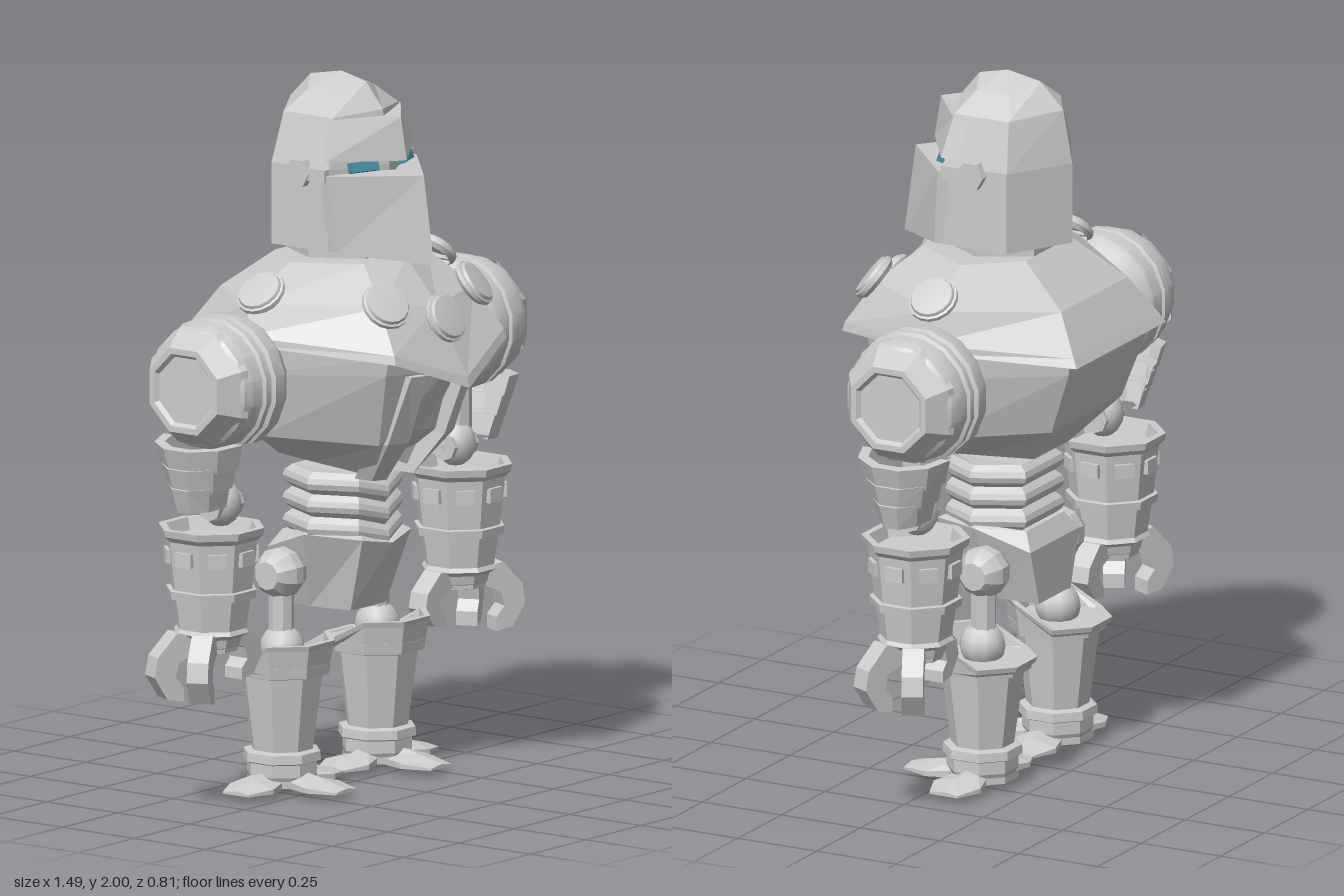
import * as THREE from 'three';
import { toCreasedNormals } from 'three/addons/utils/BufferGeometryUtils.js';

const flat = new THREE.MeshStandardMaterial({ color: 0xcccccc, flatShading: true, side: THREE.DoubleSide });
const smooth = new THREE.MeshStandardMaterial({ color: 0xcccccc, side: THREE.DoubleSide });
const teal = new THREE.MeshStandardMaterial({ color: 0x4a90a8 });

function add(parent, name, geo, pos = [0, 0, 0], mat = flat) {
  const m = new THREE.Mesh(geo, mat);
  m.name = name;
  m.position.set(...pos);
  parent.add(m);
  return m;
}

// Completes a half section (front to back, x >= 0) by mirroring it
const whole = half => [...half, ...half.filter(p => p[0] > 0.001).reverse().map(([x, y, z]) => [-x, y, z])];
// Symmetric open strip, right end to left end
const strip = half => [...half.slice(1).reverse().map(([x, y, z]) => [-x, y, z]), ...half];

// Skin over cross-sections, listed from bottom to top
function loft(rings, { closed = true, caps = true } = {}) {
  const n = rings[0].length, pos = [];
  const tri = (...p) => p.forEach(v => pos.push(...v));
  for (let i = 0; i < rings.length - 1; i++)
    for (let j = 0; j < (closed ? n : n - 1); j++) {
      const k = (j + 1) % n, [lo, hi] = [rings[i], rings[i + 1]];
      tri(lo[j], lo[k], hi[k]);
      tri(lo[j], hi[k], hi[j]);
    }
  if (closed && caps)
    for (let j = 1; j < n - 1; j++) {
      const lo = rings[0], hi = rings[rings.length - 1];
      tri(lo[0], lo[j + 1], lo[j]);
      tri(hi[0], hi[j], hi[j + 1]);
    }
  const g = new THREE.BufferGeometry();
  g.setAttribute('position', new THREE.Float32BufferAttribute(pos, 3));
  g.computeVertexNormals();
  return g;
}

// Turned profile of [radius, height] pairs; eight flat sides by default
const turned = (pts, n = 8) =>
  new THREE.LatheGeometry(pts.map(p => new THREE.Vector2(...p)), n, Math.PI / n);

// Square bar between two points
function bar(parent, name, a, b, w, d, mat = flat) {
  const A = new THREE.Vector3(...a), B = new THREE.Vector3(...b), dir = B.clone().sub(A);
  const m = add(parent, name, new THREE.BoxGeometry(w, dir.length(), d), A.clone().add(B).multiplyScalar(0.5).toArray(), mat);
  m.quaternion.setFromUnitVectors(new THREE.Vector3(0, 1, 0), dir.normalize());
}

function addPair(parent, name, build) {
  for (const s of [1, -1]) {
    const g = build();
    g.name = (s > 0 ? 'left' : 'right') + name;
    g.scale.x = s;
    parent.add(g);
  }
}

function makeTorso() {
  const g = new THREE.Group();
  g.name = 'torso';
  add(g, 'chestShell', loft([
    [[0, 1.21, .36], [.22, 1.275, .3], [.42, 1.31, -.04], [.22, 1.265, -.37]],
    [[0, 1.16, .40], [.25, 1.255, .335], [.46, 1.3, -.04], [.255, 1.255, -.41]],
    [[0, 1.19, .392], [.247, 1.28, .328], [.457, 1.325, -.04], [.245, 1.28, -.395]],
    [[0, 1.38, .29], [.21, 1.4, .25], [.42, 1.41, -.04], [.19, 1.39, -.325]],
    [[0, 1.5, .18], [.14, 1.5, .14], [.25, 1.5, -.04], [.13, 1.5, -.18]],
  ].map(whole)));
  add(g, 'lowerBody', loft([
    [[0, .93, .11], [.09, .89, .14], [.14, .92, -.04], [.1, .92, -.19]],
    [[0, 1.02, .22], [.17, 1.0, .215], [.375, 1.03, -.04], [.2, 1.04, -.3]],
    [[0, 1.2, .32], [.21, 1.21, .27], [.415, 1.21, -.04], [.22, 1.22, -.365]],
    [[0, 1.25, .33], [.21, 1.26, .28], [.42, 1.3, -.04], [.22, 1.26, -.37]],
  ].map(whole)));
  // Tapered belly ribs either side of the recess
  for (const s of [1, -1]) {
    const rib = (y, x0, x1, z) => [[s * x0, y, z], [s * x1, y, z - .02], [s * x1, y, z - .08], [s * x0, y, z - .08]];
    add(g, 'bellyRib', loft([rib(.88, .06, .1, .155), rib(1.0, .08, .15, .25), rib(1.2, .09, .14, .325)]));
  }

  // Round studs on the chest
  const studs = [[[0, 1.35, .32], [0, .45, .88]]];
  for (const s of [1, -1])
    studs.push([[s * .2, 1.41, .265], [s * .3, .62, .72]], [[s * .39, 1.44, -.03], [s * .66, .75, 0]]);
  for (const [p, n] of studs) {
    const m = add(g, 'chestStud', toCreasedNormals(
      turned([[.06, -.022], [.071, -.01], [.071, .002], [.064, .004], [.06, .012], [0, .018]], 16), .5), p, smooth);
    m.quaternion.setFromUnitVectors(new THREE.Vector3(0, 1, 0), new THREE.Vector3(...n).normalize());
  }

  // Three rounded waist rings
  const waist = [];
  for (let i = 0; i <= 12; i++) {
    const k = [.86, .97, 1, .97][i % 4], y = .705 + i * .0158;
    waist.push(whole([[0, y - .03, .12 * k], [.1 * k, y - .005, .09 * k], [.18 * k, y, -.03], [.11 * k, y, -.17 * k]]));
  }
  add(g, 'waist', loft(waist));
  add(g, 'pelvis', loft([
    [[0, .5, .05], [.08, .5, .045], [.1, .5, -.08], [.09, .5, -.2]],
    [[0, .69, .13], [.11, .71, .11], [.18, .72, -.04], [.14, .66, -.2]],
    [[0, .7, .1], [.09, .72, .09], [.165, .73, -.04], [.11, .71, -.17]],
  ].map(whole)));
  return g;
}

function makeHead() {
  const g = new THREE.Group();
  g.name = 'head';
  // Six-sided dome whose crest runs front to back
  const outline = [[0, .17], [.185, .1], [.185, -.1], [0, -.205]];
  add(g, 'helmet', loft([[1.53, 1, 1, 0], [1.76, 1, 1, 0], [1.9, .8, .86, .01], [1.955, .45, .52, .025], [2, .01, .01, 0]]
    .map(([y, kx, kz, crest]) => whole(outline.map(([x, z]) => [x * kx, y + (x ? 0 : crest), z * kz - .05])))));
  add(g, 'neck', turned([[.16, 1.48], [.16, 1.55]], 6), [0, 0, -.04]);
  add(g, 'faceGuard', loft([
    [[0, 1.49, .275], [.185, 1.53, .08], [.18, 1.53, .04]],
    [[0, 1.74, .24], [.2, 1.745, .06], [.195, 1.745, .03]],
    [[0, 1.745, .14], [.17, 1.745, .05], [.17, 1.745, .02]],
  ].map(strip), { closed: false }));
  add(g, 'brow', loft([
    [[0, 1.775, .1], [.17, 1.78, .04], [.17, 1.78, -.01]],
    [[0, 1.775, .18], [.2, 1.785, .05], [.2, 1.78, 0]],
    [[0, 1.895, .16], [.166, 1.895, .03], [.166, 1.89, -.02]],
    [[0, 1.89, .06], [.12, 1.89, .01], [.13, 1.885, -.03]],
  ].map(strip), { closed: false }));
  for (const s of [1, -1]) {
    bar(g, 'eye', [s * .05, 1.762, .115], [s * .135, 1.762, .085], .028, .02, teal);
    add(g, 'hingeArm', new THREE.BoxGeometry(.02, .035, .1), [s * .193, 1.745, 0]);
    add(g, 'hinge', new THREE.CylinderGeometry(.042, .042, .03, 6), [s * .193, 1.745, -.045]).rotation.z = Math.PI / 2;
  }
  return g;
}

function makeArm() {
  const g = new THREE.Group(), Z = -.06, X = .56;
  // Shoulder turned about the x axis, with a band and a recessed eight-sided cap
  const shoulder = turned([[.08, .38], [.14, .41], [.17, .45], [.185, .47], [.19, .48], [.192, .525], [.18, .53],
    [.18, .543], [.19, .547], [.19, .565], [.18, .57], [.177, .61], [.168, .635], [.15, .65]], 16);
  add(g, 'shoulder', toCreasedNormals(shoulder, .45), [0, 1.205, Z], smooth).rotation.z = -Math.PI / 2;
  add(g, 'shoulderCap', turned([[.178, .62], [.17, .64], [.128, .7], [.11, .7], [.1, .688], [0, .688]]),
    [0, 1.205, Z]).rotation.z = -Math.PI / 2;
  add(g, 'upperArm', new THREE.CylinderGeometry(.04, .04, .25, 8), [.54, .97, Z]);
  add(g, 'elbow', new THREE.SphereGeometry(.058, 12, 8), [.53, .865, Z], smooth).scale.y = 1.15;
  add(g, 'elbowPin', new THREE.CylinderGeometry(.04, .04, .11, 8), [.53, .86, Z]).rotation.z = Math.PI / 2;

  // Stepped overlapping plates outside the elbow, narrowing from front to back
  const arc = (rx, rz, y) => Array.from({ length: 6 }, (_, k) => {
    const a = k * Math.PI / 5;
    return [rx * Math.sin(a), y, rz * Math.cos(a)];
  });
  for (let i = 0; i < 3; i++) {
    const rx = .132 - i * .006, rz = .138 - i * .024, h = .035;
    const m = add(g, 'elbowPlate', loft([arc(rx - .04, rz - .04, -h), arc(rx - .014, rz - .02, -h), arc(rx, rz, h),
      arc(rx - .03, rz - .03, h)], { closed: false }), [.6 - i * .003, 1.02 - i * .058, Z - .005]);
    m.rotation.z = -.1;
  }

  add(g, 'forearm', turned([[.075, .455], [.08, .49], [.095, .5], [.108, .508], [.1, .52], [.112, .605], [.127, .607],
    [.13, .63], [.117, .632], [.132, .77], [.148, .785], [.152, .805], [.13, .805], [.12, .77], [0, .77]]), [X, 0, Z - .01]);
  add(g, 'wrist', turned([[0, .445], [.05, .45], [.08, .47], [.09, .51]]), [X, 0, Z - .01]);
  for (let i = 0; i < 8; i++) {
    const a = i * Math.PI / 4;
    const m = add(g, 'forearmBlock', new THREE.BoxGeometry(.055, .04, .03), [X + Math.sin(a) * .115, .725, Z - .01 + Math.cos(a) * .115]);
    m.rotation.y = a;
  }

  // Hooked fingers around the wrist
  const finger = new THREE.Shape([[.05, .5], [.12, .515], [.18, .45], [.19, .395], [.15, .33], [.1, .32], [.1, .36],
    [.125, .39], [.115, .43], [.05, .46]].map(p => new THREE.Vector2(...p)));
  for (const [turn, size] of [[.45, 1], [-.45, 1], [Math.PI, .8]]) {
    const geo = new THREE.ExtrudeGeometry(finger, { depth: .06, bevelEnabled: false }).translate(0, -.5, -.03);
    const m = add(g, 'finger', geo, [X, .5, Z - .01]);
    m.rotation.y = turn;
    m.scale.y = size;
  }
  return g;
}

function makeLeg() {
  const g = new THREE.Group(), X = .215, Z = -.09;
  add(g, 'hipJoint', toCreasedNormals(turned([[.04, -.065], [.058, -.045], [.072, -.015], [.072, .015], [.058, .045],
    [.04, .065], [0, .065]], 10), .4), [X, .612, Z - .005], smooth).rotation.z = -Math.PI / 2;
  bar(g, 'hipAxle', [.08, .612, Z - .005], [.2, .612, Z - .005], .05, .05);
  add(g, 'thigh', new THREE.CylinderGeometry(.036, .036, .2, 8), [X, .5, Z - .003]);
  add(g, 'knee', new THREE.SphereGeometry(.065, 10, 8), [X, .4, Z], smooth);
  add(g, 'boot', turned([[0, .03], [.09, .03], [.1, .05], [.1, .085], [.112, .09], [.11, .115], [.088, .12],
    [.116, .33], [.135, .335], [.14, .365], [0, .365]]), [X, 0, Z]);

  // Collar that stands taller at the front
  const ring = (r, y, rise) => Array.from({ length: 8 }, (_, i) => {
    const a = (i + .5) * Math.PI / 4;
    return [X + r * Math.sin(a), y + (Math.cos(a) > 0 ? rise : 0), Z + r * Math.cos(a)];
  });
  add(g, 'bootCollar', loft([ring(.135, .345, 0), ring(.148, .355, .06), ring(.153, .37, .06), ring(.135, .37, .06),
    ring(.125, .355, 0)], { caps: false }));

  // Splayed flat toes with a ridge along the middle
  add(g, 'sole', turned([[0, 0], [.06, .004], [.1, .02], [.1, .04]]), [X, 0, Z]);
  for (const [a, len] of [[0, .225], [1.55, .215], [-1.55, .215]]) {
    const section = (z, w, h) => [[-w, .018, z], [w, .018, z], [w, .02 + h * .4, z], [0, .02 + h, z], [-w, .02 + h * .4, z]];
    const toe = add(g, 'toe', loft([section(.04, .045, .05), section(.14, .075, .03), section(len, .045, .01)].reverse()), [X, 0, Z]);
    toe.rotation.y = a;
  }
  return g;
}

export function createModel() {
  const model = new THREE.Group();
  model.name = 'robot';
  model.add(makeTorso(), makeHead());
  addPair(model, 'Arm', makeArm);
  addPair(model, 'Leg', makeLeg);
  return model;
}
